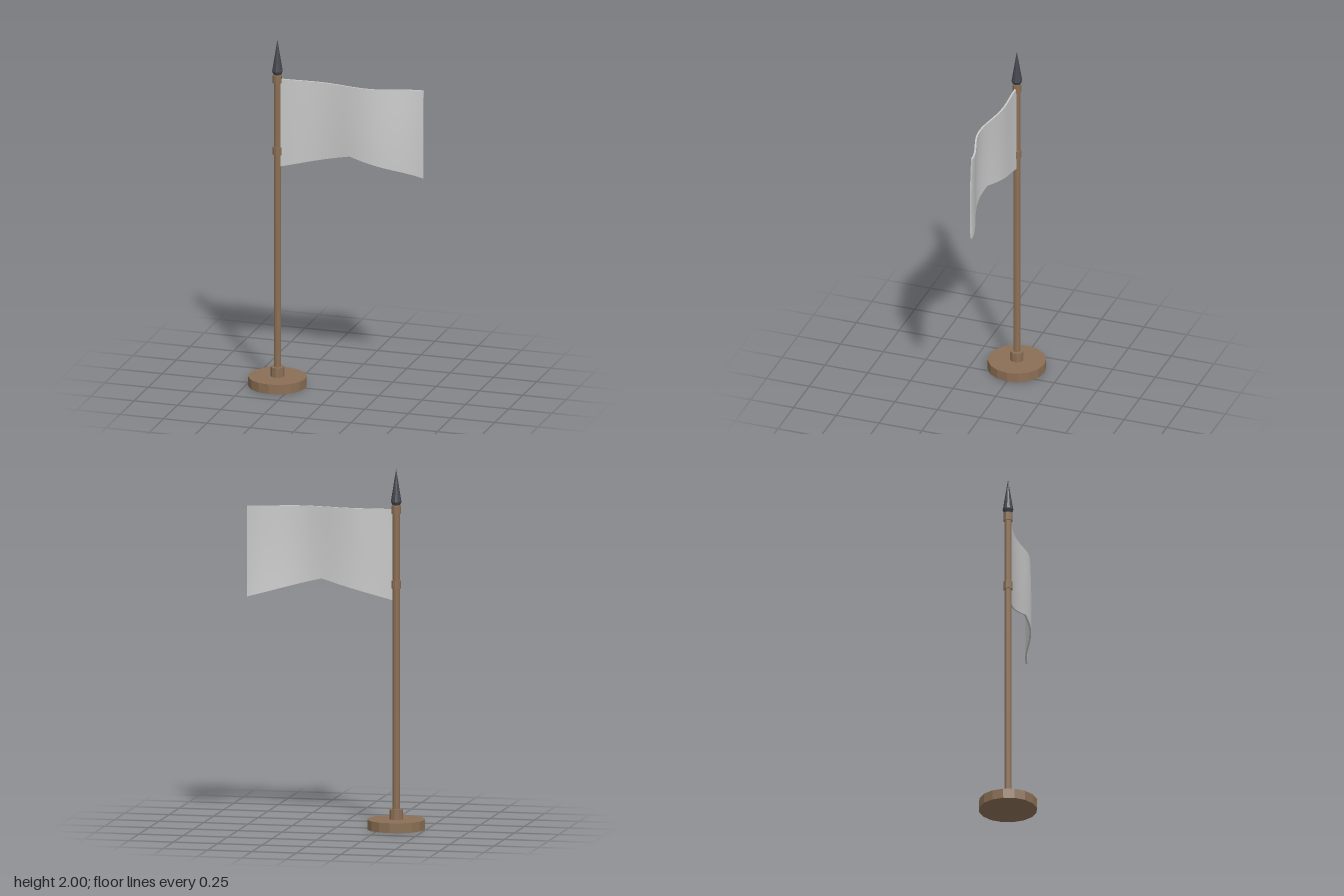
import * as THREE from 'three';

const wood = new THREE.MeshStandardMaterial({ name: 'wood', color: 0x8b6f55, flatShading: true });
const iron = new THREE.MeshStandardMaterial({ name: 'dark iron', color: 0x44464e, flatShading: true });
const cloth = new THREE.MeshStandardMaterial({ name: 'pale cloth', color: 0xcccccc });

const POLE_X = -0.335;

// Upright cylinder on the pole axis, from y0 to y1
function post(name, radius, y0, y1, sides) {
  const geometry = new THREE.CylinderGeometry(radius, radius, y1 - y0, sides);
  const mesh = new THREE.Mesh(geometry, wood);
  mesh.name = name;
  mesh.position.set(POLE_X, (y0 + y1) / 2, 0);
  return mesh;
}

// Thin cloth slab, notched along the bottom and rippling more toward the free end
function makeFlag() {
  const left = -0.315, width = 0.81, top = 1.775, thickness = 0.01;
  const geometry = new THREE.BoxGeometry(1, 1, 1, 32, 10, 1);
  const p = geometry.attributes.position;
  for (let i = 0; i < p.count; i++) {
    const u = p.getX(i) + 0.5;
    const t = 0.5 - p.getY(i);
    const height = 0.4 + 0.105 * Math.abs(2 * u - 1);
    const drop = t * height;
    const ripple = -0.042 * u * Math.sin(8 * u);
    const belly = 0.007 * Math.min(1, u * 2) * Math.sin(Math.PI * drop / 0.62);
    p.setXYZ(i, left + u * width, top - drop, ripple + belly + p.getZ(i) * thickness);
  }
  geometry.computeVertexNormals();
  const mesh = new THREE.Mesh(geometry, cloth);
  mesh.name = 'flag';
  return mesh;
}

// Spear-shaped tip
function makeFinial() {
  const profile = [[0, 1.8], [0.022, 1.8], [0.03, 1.818], [0.027, 1.835], [0, 2]]
    .map(([r, y]) => new THREE.Vector2(r, y));
  const mesh = new THREE.Mesh(new THREE.LatheGeometry(profile, 12), iron);
  mesh.name = 'finial';
  mesh.position.x = POLE_X;
  return mesh;
}

export function createModel() {
  const model = new THREE.Group();
  model.name = 'flagpole';
  model.add(
    post('base', 0.161, 0, 0.055, 16),
    post('socket', 0.038, 0.055, 0.11, 10),
    post('pole', 0.02, 0.11, 1.8, 10),
    post('lowerCollar', 0.026, 1.335, 1.38, 10),
    post('upperCollar', 0.026, 1.75, 1.795, 10),
    makeFlag(),
    makeFinial(),
  );
  return model;
}
